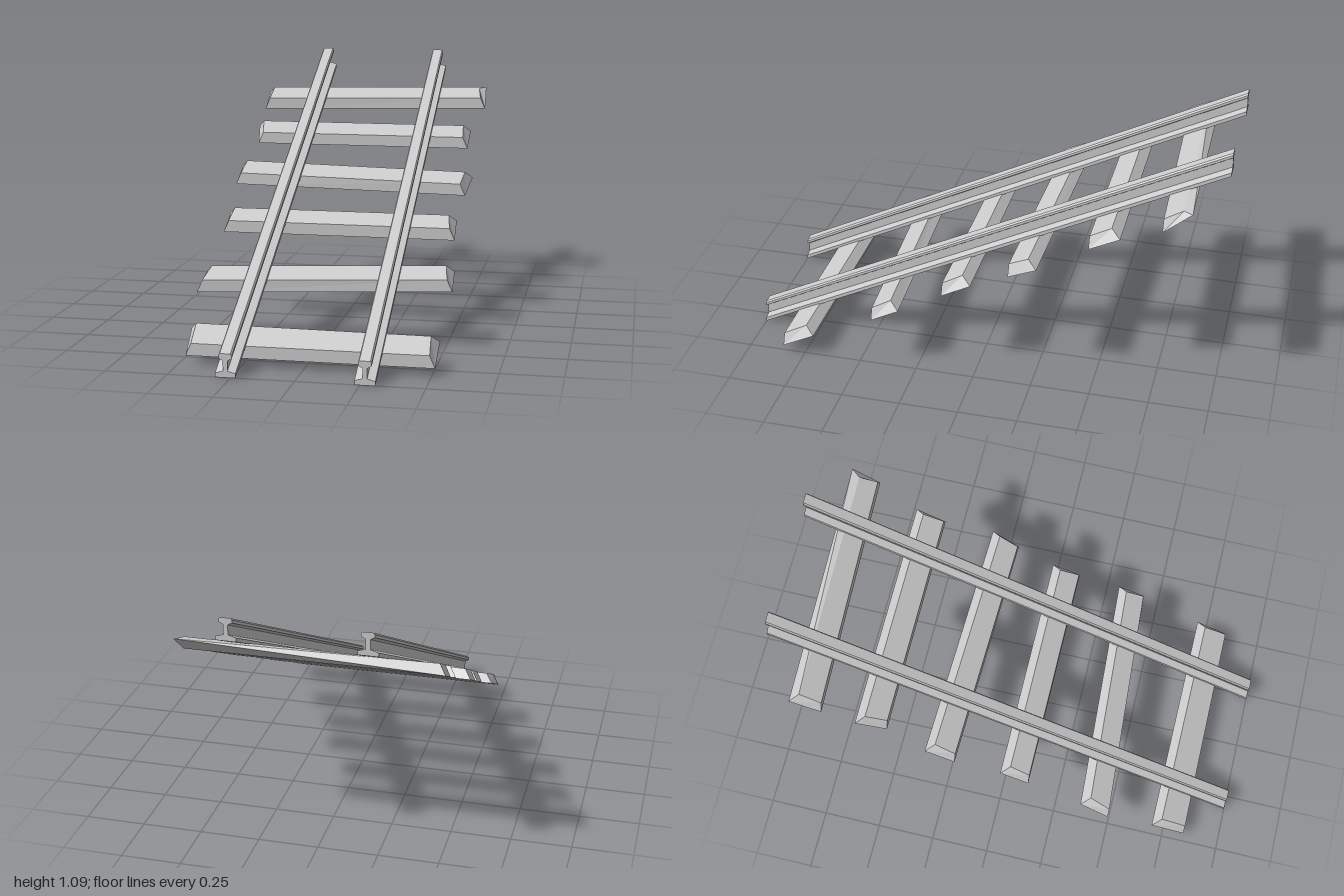
import * as THREE from 'three';

const grey = new THREE.MeshStandardMaterial({ color: 0xcccccc, flatShading: true });

// Height of the ramp's base line at a given depth
const rampY = (z) => (1 - z) / 2;

// Right half of the rail section, from base to head
const halfRail = [
  [0.04, 0], [0.04, 0.017], [0.009, 0.026], [0.009, 0.066],
  [0.026, 0.075], [0.026, 0.087], [0.021, 0.094],
];

function createRail(x) {
  const mirrored = halfRail.map(([px, py]) => [-px, py]).reverse();
  const shape = new THREE.Shape([...halfRail, ...mirrored].map((p) => new THREE.Vector2(...p)));
  const geo = new THREE.ExtrudeGeometry(shape, { depth: 2, bevelEnabled: false });
  geo.translate(x, 0, -1);
  // Slant along the ramp, keeping the ends upright
  const pos = geo.attributes.position;
  for (let i = 0; i < pos.count; i++) pos.setY(i, pos.getY(i) + rampY(pos.getZ(i)));
  geo.computeVertexNormals();
  return new THREE.Mesh(geo, grey);
}

// Underside corners of each sleeper as [x, z]; lift raises the left back corner
const sleepers = [
  { rightFront: [-0.473, 0.842], rightBack: [-0.489, 0.695], leftFront: [0.514, 0.842], leftBack: [0.514, 0.703] },
  { rightFront: [-0.523, 0.497], rightBack: [-0.512, 0.37], leftFront: [0.527, 0.434], leftBack: [0.522, 0.315] },
  { rightFront: [-0.505, 0.133], rightBack: [-0.506, 0.01], leftFront: [0.498, 0.133], leftBack: [0.492, 0.01] },
  { rightFront: [-0.53, -0.182], rightBack: [-0.53, -0.308], leftFront: [0.507, -0.152], leftBack: [0.527, -0.274] },
  { rightFront: [-0.497, -0.474], rightBack: [-0.522, -0.6], leftFront: [0.479, -0.474], leftBack: [0.48, -0.6] },
  { rightFront: [-0.526, -0.734], rightBack: [-0.531, -0.862], leftFront: [0.527, -0.77], leftBack: [0.521, -0.883], lift: 0.035 },
];

function createSleeper(corners) {
  const geo = new THREE.BoxGeometry(1, 1, 1);
  const pos = geo.attributes.position;
  for (let i = 0; i < pos.count; i++) {
    const left = pos.getX(i) > 0, top = pos.getY(i) > 0, front = pos.getZ(i) > 0;
    let [x, z] = corners[(left ? 'left' : 'right') + (front ? 'Front' : 'Back')];
    let y = -0.046;
    if (top) {
      // Top face is inset at both ends and along the back
      y = 0.004;
      x += (left ? -1 : 1) * (front ? 0.022 : 0.03);
      if (!front) z += 0.039;
    } else if (left && !front) {
      y += corners.lift ?? 0;
    }
    pos.setXYZ(i, x, y + rampY(z), z);
  }
  geo.computeVertexNormals();
  return new THREE.Mesh(geo, grey);
}

export function createModel() {
  const model = new THREE.Group();
  model.name = 'slopedTrack';

  // Two rails
  for (const side of [-1, 1]) {
    const rail = createRail(side * 0.27);
    rail.name = side > 0 ? 'leftRail' : 'rightRail';
    model.add(rail);
  }

  // Uneven wooden sleepers under the rails
  sleepers.forEach((corners, i) => {
    const sleeper = createSleeper(corners);
    sleeper.name = `sleeper${i + 1}`;
    model.add(sleeper);
  });
  return model;
}
